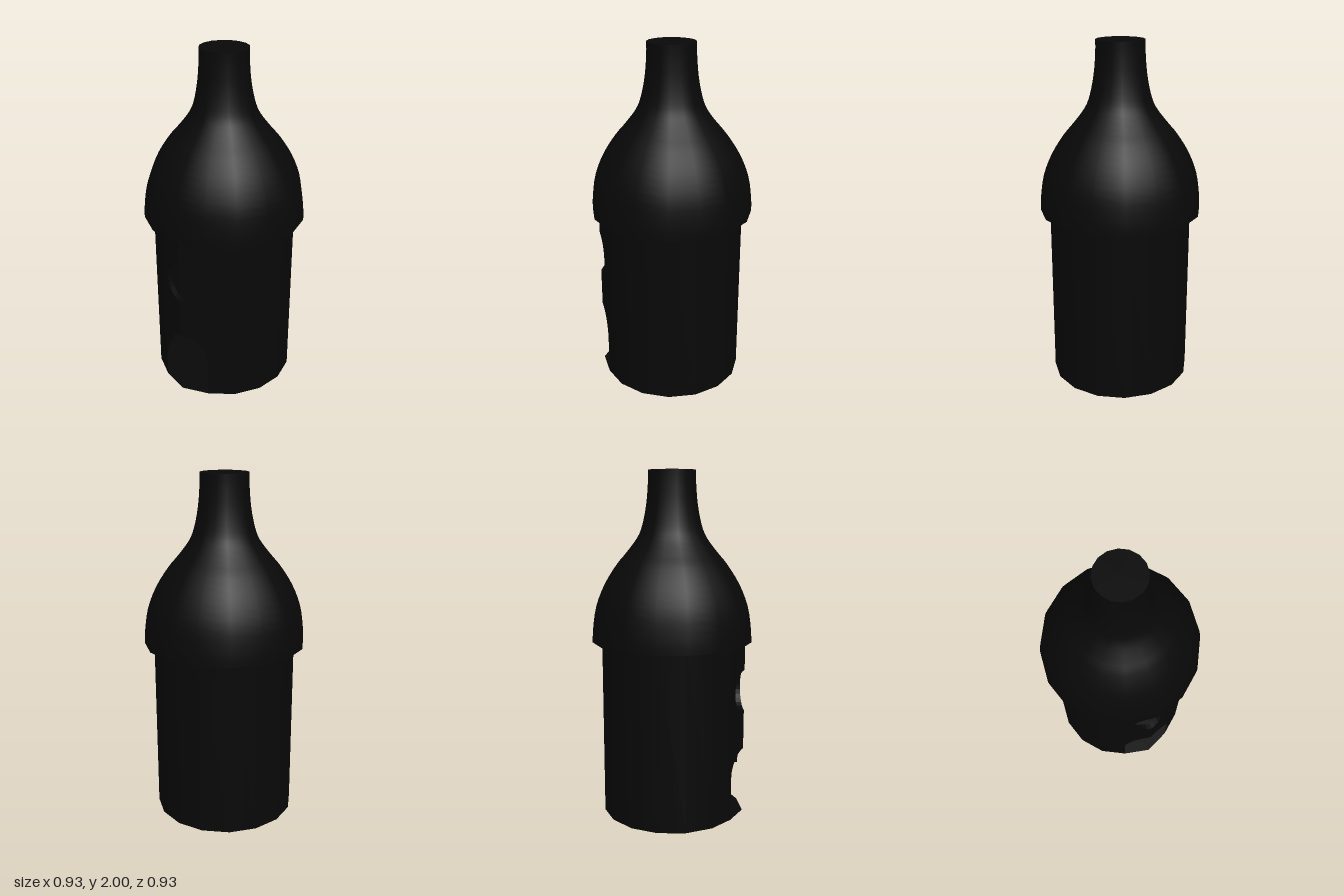
import * as THREE from 'three';

const SIDES = 16, R = 0.41, WALL = 0.035, EAVE = 1.03, FRONT = 0.43;
const STEP = Math.PI * 2 / SIDES;
const EDGE_X = R * Math.sin(STEP), EDGE_Z = R * Math.cos(STEP);
const v = (x, y) => new THREE.Vector2(x, y);

// Half of the front wall with half a round window and half an arched doorway
function frontWallHalf(side) {
  const pts = [];
  for (let i = 0; i <= 10; i++) { // doorway arch, from jamb to crown
    const a = i / 10 * Math.PI / 2;
    pts.push(v(EDGE_X * Math.cos(a), 0.24 + 0.15 * Math.sin(a)));
  }
  for (let i = 0; i <= 14; i++) { // window edge, from sill to top
    const a = -Math.PI / 2 + i / 14 * Math.PI;
    pts.push(v(0.118 * Math.cos(a), 0.745 + 0.122 * Math.sin(a)));
  }
  pts.push(v(0, EAVE), v(EDGE_X, EAVE));
  const shape = new THREE.Shape(pts.map(p => v(Math.abs(p.x) < 1e-6 ? 0 : p.x * side, p.y)));
  const geo = new THREE.ExtrudeGeometry(shape, { depth: WALL, bevelEnabled: false });
  // slant the slab from the centre ridge back to the side walls
  const pos = geo.attributes.position;
  for (let i = 0; i < pos.count; i++) {
    const t = Math.abs(pos.getX(i)) / EDGE_X;
    pos.setZ(i, pos.getZ(i) - WALL + FRONT + (EDGE_Z - FRONT) * t);
  }
  geo.computeVertexNormals();
  return geo;
}

export function createModel() {
  const group = new THREE.Group();
  const dark = new THREE.MeshStandardMaterial({ color: 0x080808 });
  const darkDouble = new THREE.MeshStandardMaterial({ color: 0x080808, side: THREE.DoubleSide });
  const add = (name, geo, mat = dark) => {
    const mesh = new THREE.Mesh(geo, mat);
    mesh.name = name;
    group.add(mesh);
  };

  // Hollow round wall, leaving the two front facets open
  const wall = [v(R, 0), v(R, EAVE), v(R, EAVE), v(R - WALL, EAVE), v(R - WALL, EAVE), v(R - WALL, 0)];
  add('roundWall', new THREE.LatheGeometry(wall, SIDES - 2, STEP, Math.PI * 2 - 2 * STEP));

  add('frontWallLeft', frontWallHalf(1));
  add('frontWallRight', frontWallHalf(-1));

  // Floor, with its front corner drawn out to the threshold
  const floor = new THREE.CircleGeometry(R, SIDES);
  floor.rotateX(-Math.PI / 2);
  floor.attributes.position.setZ(1 + SIDES * 3 / 4, FRONT);
  add('floor', floor, darkDouble);

  // Domed roof sweeping up into the chimney neck; doubled points keep hard edges
  const curve = new THREE.SplineCurve([
    v(0.465, EAVE), v(0.461, 1.11), v(0.44, 1.24), v(0.39, 1.365), v(0.32, 1.475), v(0.265, 1.54),
    v(0.2, 1.625), v(0.17, 1.70), v(0.148, 1.81), v(0.138, 1.925), v(0.137, 2),
  ]).getPoints(30);
  const roof = [v(0, EAVE), v(0.465, EAVE), ...curve, v(0.137, 2), v(0, 2)];
  add('roofAndChimney', new THREE.LatheGeometry(roof, SIDES));

  return group;
}
